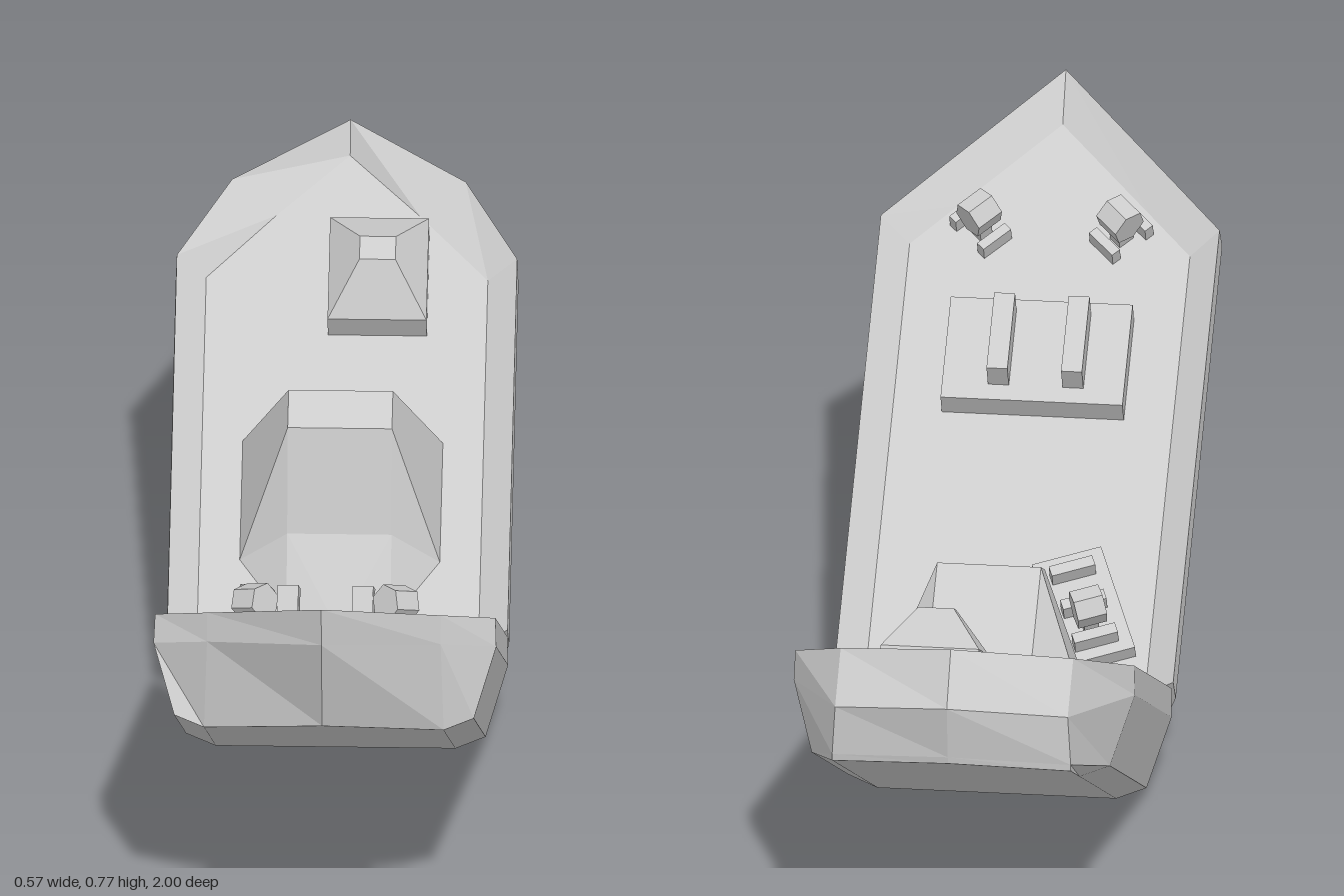
import * as THREE from 'three';
import { ConvexGeometry } from 'three/addons/geometries/ConvexGeometry.js';

const mat = new THREE.MeshStandardMaterial({ color: 0xcccccc, flatShading: true });
const DECK = 0.15;

function add(parent, name, geometry, x = 0, y = 0, z = 0) {
  const m = new THREE.Mesh(geometry, mat);
  m.name = name;
  m.position.set(x, y, z);
  parent.add(m);
  return m;
}

const box = (parent, name, w, h, d, x, y, z) =>
  add(parent, name, new THREE.BoxGeometry(w, h, d), x, y + h / 2, z);

// Convex solid from half points [x, y, z], mirrored across x
function mirroredHull(points) {
  const all = [];
  for (const [x, y, z] of points) {
    all.push(new THREE.Vector3(x, y, z));
    if (x) all.push(new THREE.Vector3(-x, y, z));
  }
  return new ConvexGeometry(all);
}

// Loft half sections (keel, chine, rail, gunwale, deck edge) into a hull, open break end capped
function hullGeometry(stations) {
  const rings = stations.map(half => [
    ...half.map(p => new THREE.Vector3(...p)),
    ...half.slice().reverse().map(([x, y, z]) => new THREE.Vector3(-x, y, z)),
  ]);
  const pos = [];
  const tri = (a, b, c) => {
    const area = b.clone().sub(a).cross(c.clone().sub(a)).length();
    if (area > 1e-7) for (const v of [a, b, c]) pos.push(v.x, v.y, v.z);
  };
  const n = rings[0].length;
  for (let i = 0; i < rings.length - 1; i++) {
    for (let j = 0; j < n; j++) {
      const k = (j + 1) % n;
      const a = rings[i][j], b = rings[i][k], c = rings[i + 1][k], d = rings[i + 1][j];
      tri(a, b, c);
      tri(a, c, d);
    }
  }
  const outline = rings[0].map(v => new THREE.Vector2(v.x, v.y));
  for (const [a, b, c] of THREE.ShapeUtils.triangulateShape(outline, [])) {
    tri(rings[0][a], rings[0][c], rings[0][b]);
  }
  const g = new THREE.BufferGeometry();
  g.setAttribute('position', new THREE.Float32BufferAttribute(pos, 3));
  g.computeVertexNormals();
  return g;
}

const breakSection = [[0.2, 0, 0], [0.25, 0.02, 0], [0.286, 0.14, 0], [0.284, 0.188, 0], [0.235, DECK, 0]];

// Small tilted six-sided gun body
function gunBody(parent, x, y, z) {
  const body = add(parent, 'gunBody', new THREE.CylinderGeometry(0.032, 0.032, 0.05, 6), x, y, z);
  body.rotation.set(0.35, 0, Math.PI / 2);
  return body;
}

function bowHalf() {
  const g = new THREE.Group();
  g.name = 'bowHalf';
  add(g, 'bowHull', hullGeometry([
    breakSection,
    [[0.2, 0, 0.9], [0.25, 0.02, 0.9], [0.286, 0.14, 0.9], [0.284, 0.188, 0.9], [0.235, DECK, 0.87]],
    [[0.2, 0, 0.9], [0.2, 0, 0.9], [0.195, 0.14, 0.984], [0.195, 0.188, 0.996], [0.16, DECK, 0.95]],
    [[0, 0, 1.028], [0, 0, 1.028], [0, 0.13, 1.17], [0, 0.188, 1.205], [0, DECK, 1.12]],
  ]));

  // Raised hatch with two bars
  box(g, 'hatch', 0.305, 0.045, 0.2, 0, DECK, 0.64);
  for (const x of [-0.067, 0.058]) box(g, 'hatchBar', 0.035, 0.05, 0.15, x, DECK + 0.045, 0.645);

  // Mirrored pair of bow guns between low rails
  for (const side of [-1, 1]) {
    const gun = new THREE.Group();
    gun.name = 'bowGun';
    gun.position.set(side * 0.118, DECK, 0.9);
    gun.rotation.y = side * Math.PI / 4;
    for (const z of [-0.036, 0.036]) box(gun, 'gunRail', 0.06, 0.028, 0.017, 0, 0, z);
    gunBody(gun, 0, 0.06, 0);
    box(gun, 'gunMount', 0.025, 0.04, 0.03, 0, 0, 0);
    g.add(gun);
  }

  // Gun platform beside the break
  const platform = new THREE.Group();
  platform.name = 'gunPlatform';
  platform.position.set(-0.12, DECK, 0.15);
  platform.rotation.y = 0.36;
  box(platform, 'platformBase', 0.12, 0.028, 0.21, 0, 0, 0);
  for (const z of [-0.075, -0.005, 0.065]) box(platform, 'platformRail', 0.075, 0.028, 0.02, 0, 0.028, z);
  gunBody(platform, 0, 0.085, -0.04);
  box(platform, 'gunMount', 0.025, 0.05, 0.03, 0, 0.028, -0.04);
  g.add(platform);
  return g;
}

function sternHalf() {
  const g = new THREE.Group();
  g.name = 'sternHalf';
  add(g, 'sternHull', hullGeometry([
    breakSection,
    [[0.2, 0, 0.71], [0.25, 0.02, 0.71], [0.286, 0.14, 0.71], [0.284, 0.188, 0.73], [0.235, DECK, 0.71]],
    [[0.2, 0, 0.878], [0.2, 0.01, 0.885], [0.195, 0.087, 0.93], [0.195, 0.188, 0.88], [0.12, DECK, 0.834]],
    [[0, 0, 0.948], [0, 0.01, 0.956], [0, 0.087, 1.02], [0, 0.188, 1.0], [0, DECK, 0.953]],
  ]));

  // Bridge with a sloping apron towards the break
  const foot = [[0.167, DECK, 0.156], [0.087, 0.223, 0.163]];
  add(g, 'bridge', mirroredHull([
    ...foot, [0.167, DECK, 0.39], [0.087, DECK, 0.48], [0.087, 0.363, 0.284], [0.087, 0.363, 0.358],
  ]));
  add(g, 'bridgeApron', mirroredHull([...foot, [0.087, DECK, 0.038], [0, DECK, 0.02]]));

  // Aft deckhouse with a hipped roof
  const house = new THREE.Group();
  house.name = 'deckhouse';
  house.position.set(-0.053, DECK, 0.7);
  box(house, 'deckhouseWalls', 0.165, 0.05, 0.2, 0, 0, 0);
  add(house, 'deckhouseRoof', mirroredHull([
    [0.0825, 0.05, -0.1], [0.0825, 0.05, 0.1], [0.03, 0.12, -0.025], [0.03, 0.12, 0.02],
  ]));
  g.add(house);
  return g;
}

export function createModel() {
  const ship = new THREE.Group();
  ship.name = 'brokenShip';
  // Each half rises 30 degrees away from the break
  const bow = bowHalf();
  bow.position.set(0, 0.003, 0.05);
  bow.rotation.x = -Math.PI / 6;
  const stern = sternHalf();
  stern.position.set(0, 0.003, -0.16);
  stern.rotation.set(-Math.PI / 6, Math.PI, 0, 'YXZ');
  ship.add(bow, stern);
  return ship;
}
